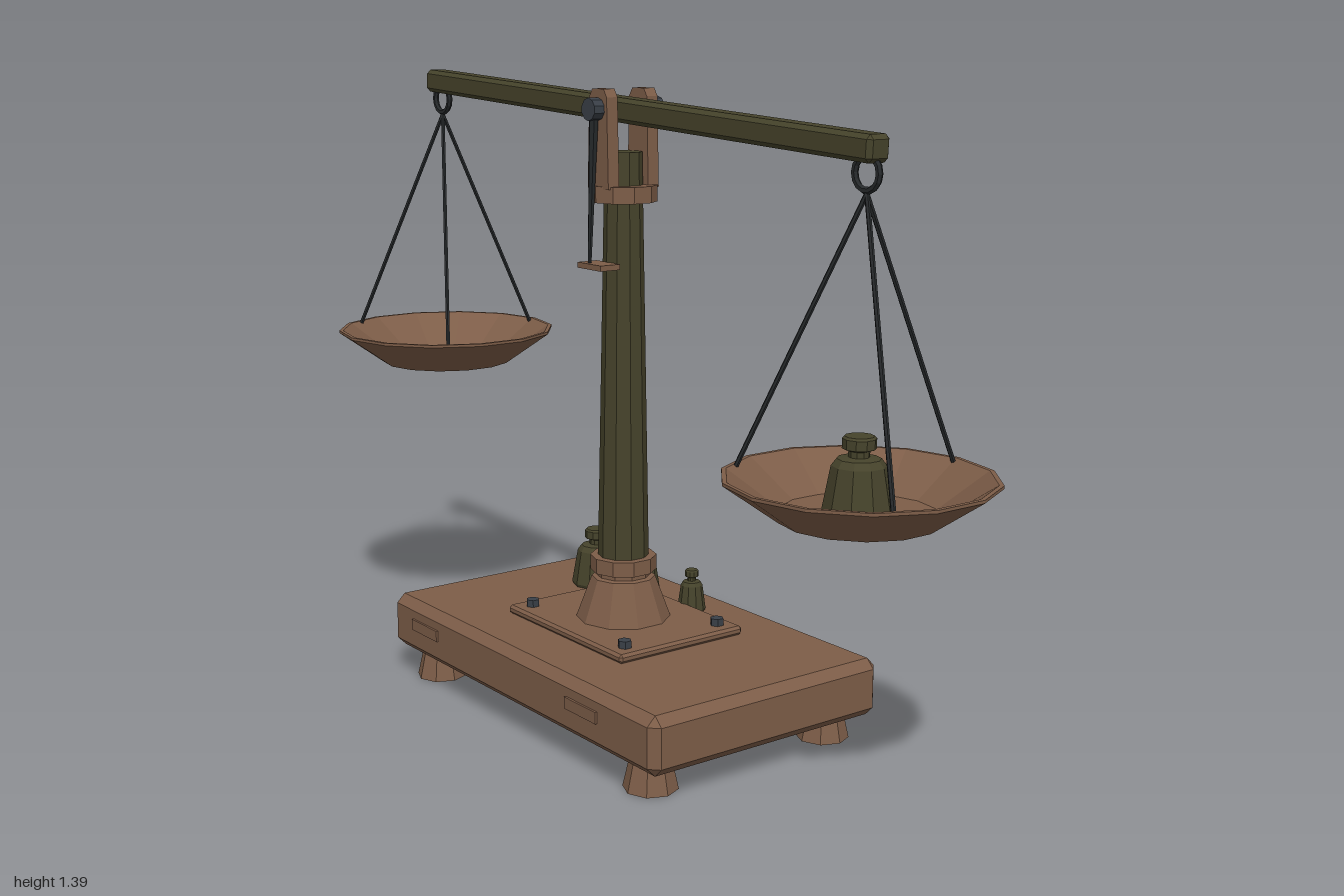
import * as THREE from 'three';
import { ConvexGeometry } from 'three/addons/geometries/ConvexGeometry.js';

const makeMaterial = (name, color) => {
  const m = new THREE.MeshStandardMaterial({ color });
  m.name = name;
  return m;
};

export function createModel() {
  const model = new THREE.Group();
  model.name = 'balanceScale';
  const wood = makeMaterial('warm brown', 0x7d5d48);
  const bronze = makeMaterial('dark olive', 0x46432b);
  const iron = makeMaterial('black iron', 0x26292b);
  const steel = makeMaterial('blue grey steel', 0x3a4048);

  // Adds a faceted mesh
  function add(name, geometry, material, x = 0, y = 0, z = 0, parent = model) {
    const flat = geometry.index ? geometry.toNonIndexed() : geometry;
    flat.computeVertexNormals();
    const mesh = new THREE.Mesh(flat, material);
    mesh.name = name;
    mesh.position.set(x, y, z);
    parent.add(mesh);
    return mesh;
  }

  // Box with all edges chamfered by c
  function chamferBox(w, h, d, c) {
    const pts = [];
    for (const sx of [-1, 1]) for (const sy of [-1, 1]) for (const sz of [-1, 1])
      for (let axis = 0; axis < 3; axis++) {
        const inset = [c, c, c];
        inset[axis] = 0;
        pts.push(new THREE.Vector3(
          sx * (w / 2 - inset[0]), sy * (h / 2 - inset[1]), sz * (d / 2 - inset[2])));
      }
    return new ConvexGeometry(pts);
  }

  const lathe = (profile, sides) =>
    new THREE.LatheGeometry(profile.map(([r, y]) => new THREE.Vector2(r, y)), sides);

  // Thin round rod between two points
  function rod(name, a, b, radius, material, parent = model) {
    const dir = b.clone().sub(a);
    const mid = a.clone().add(b).multiplyScalar(0.5);
    const mesh = add(name, new THREE.CylinderGeometry(radius, radius, dir.length(), 6),
      material, mid.x, mid.y, mid.z, parent);
    mesh.quaternion.setFromUnitVectors(new THREE.Vector3(0, 1, 0), dir.normalize());
    return mesh;
  }

  // Base, feet and bolted plate
  add('base', chamferBox(1.01, 0.125, 0.6, 0.02), wood, 0, 0.1245, 0);
  add('mountingPlate', chamferBox(0.43, 0.02, 0.33, 0.006), wood, 0, 0.197, 0);
  for (const sx of [-1, 1]) {
    for (const sz of [-1, 1]) {
      add('foot', new THREE.CylinderGeometry(0.042, 0.057, 0.066, 8), wood,
        sx * 0.405, 0.033, sz * 0.23);
      add('bolt', new THREE.CylinderGeometry(0.015, 0.015, 0.018, 6), steel,
        sx * 0.175, 0.214, sz * 0.125);
    }
    add('frontTrim', new THREE.BoxGeometry(0.11, 0.025, 0.006), wood,
      sx > 0 ? 0.265 : -0.355, 0.135, 0.302);
  }

  // Pedestal, tapered column and collars
  add('pedestal', lathe([[0, 0.205], [0.105, 0.205], [0.07, 0.3], [0.06, 0.303],
    [0.06, 0.312], [0.073, 0.315], [0.073, 0.348], [0, 0.35]], 10), wood);
  add('column', new THREE.CylinderGeometry(0.04, 0.056, 0.89, 10), bronze, 0, 0.785, 0);
  add('upperCollar', new THREE.CylinderGeometry(0.072, 0.072, 0.035, 10), wood, 0, 1.1425, 0);

  // Fork cheeks with rounded tops
  const cheek = new THREE.Shape();
  cheek.moveTo(-0.037, 1.155);
  cheek.lineTo(0.037, 1.155);
  cheek.lineTo(0.031, 1.345);
  cheek.lineTo(0.02, 1.362);
  cheek.lineTo(-0.02, 1.362);
  cheek.lineTo(-0.031, 1.345);
  cheek.closePath();
  for (const s of [-1, 1]) {
    add('forkCheek', new THREE.ExtrudeGeometry(cheek, { depth: 0.028, bevelEnabled: false }),
      wood, 0, 0, s * 0.052 - 0.014);
    add('pivotCap', new THREE.CylinderGeometry(0.024, 0.024, 0.026, 10).rotateX(Math.PI / 2),
      steel, 0, 1.32, s * 0.078);
  }
  add('pivotPin', new THREE.CylinderGeometry(0.015, 0.015, 0.15, 8).rotateX(Math.PI / 2),
    steel, 0, 1.32, 0);

  // Tilted beam with its pointer
  const balance = new THREE.Group();
  balance.name = 'tiltingBeam';
  balance.position.set(0, 1.318, 0);
  balance.rotation.z = -0.054;
  model.add(balance);
  add('beam', chamferBox(1.545, 0.052, 0.056, 0.009), bronze, 0, 0, 0, balance);
  const needle = new THREE.CylinderGeometry(0.011, 0.004, 0.335, 6);
  add('pointer', needle, iron, 0, -0.165, 0.076, balance);
  add('pointerIndex', new THREE.BoxGeometry(0.085, 0.012, 0.05), wood, 0, 0.992, 0.065);

  // Weight with neck and knob, unit height
  function weight(x, y, z, radius, height) {
    const profile = [[0, 0], [0.95, 0], [1, 0.05], [0.77, 0.62], [0.62, 0.71],
      [0.3, 0.73], [0.3, 0.81], [0.48, 0.84], [0.48, 0.97], [0.42, 1], [0, 1]];
    add('weight', lathe(profile.map(([r, h]) => [r * radius, h * height]), 10),
      bronze, x, y, z);
  }
  weight(-0.283, 0.187, -0.13, 0.059, 0.135);
  weight(-0.135, 0.187, -0.155, 0.042, 0.112);
  weight(0.01, 0.187, -0.185, 0.032, 0.095);
  weight(0.737, 0.602, 0, 0.068, 0.147);

  // Hooks, hangers and dished pans
  const dish = [[0, 0], [0.155, 0], [0.263, 0.076], [0.263, 0.082], [0.254, 0.082],
    [0.152, 0.012], [0, 0.012]];
  for (const [side, bottom] of [[-1, 0.674], [1, 0.59]]) {
    const x = side * 0.741;
    add('pan', lathe(dish, 14), wood, x, bottom, 0);
    add('hook', new THREE.TorusGeometry(0.032, 0.007, 6, 14), iron,
      side * 0.738, bottom + 0.642, 0);
    const apex = new THREE.Vector3(side * 0.739, bottom + 0.605, 0);
    for (let i = 0; i < 3; i++) {
      const a = Math.PI / 6 + i * Math.PI * 2 / 3;
      rod('hanger', apex, new THREE.Vector3(
        x + Math.cos(a) * 0.246, bottom + 0.076, Math.sin(a) * 0.246), 0.005, iron);
    }
  }
  return model;
}
